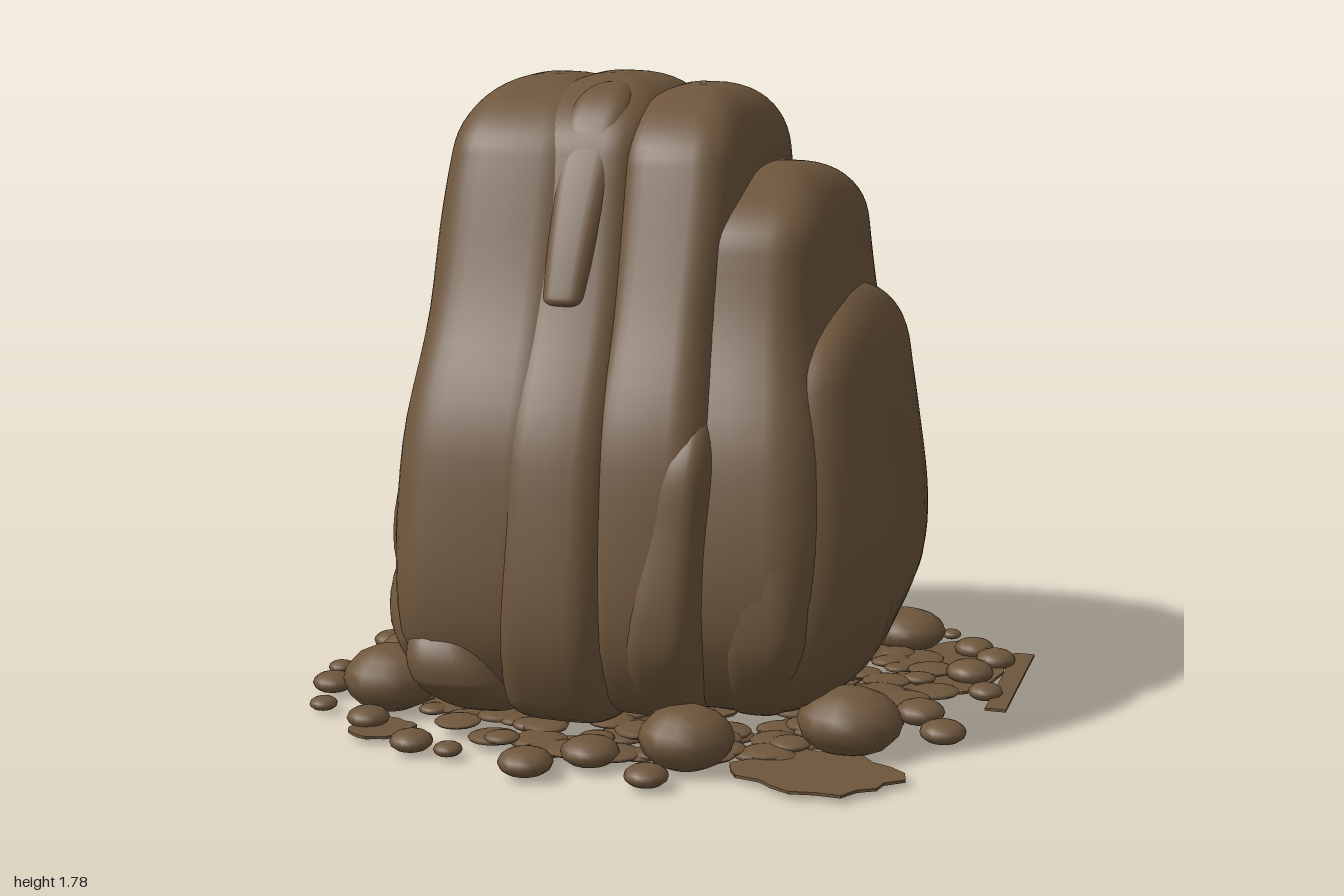
import * as THREE from 'three';

const stone = new THREE.MeshStandardMaterial({ color: 0x6e563c });
stone.name = 'brown stone';

let seed = 7;
const rand = () => (seed = (seed * 16807) % 2147483647) / 2147483647;

// Interpolate section rows [y, x0, x1, z0, z1] smoothly at height y
function sectionAt(rows, y) {
  let i = 0;
  while (i < rows.length - 2 && y > rows[i + 1][0]) i++;
  const a = rows[i], b = rows[i + 1];
  const p = rows[Math.max(i - 1, 0)], n = rows[Math.min(i + 2, rows.length - 1)];
  const h = b[0] - a[0], t = (y - a[0]) / h, t2 = t * t, t3 = t2 * t;
  return [1, 2, 3, 4].map((k) => {
    const ma = ((b[k] - p[k]) / (b[0] - p[0])) * h;
    const mb = ((n[k] - a[k]) / (n[0] - a[0])) * h;
    return (2 * t3 - 3 * t2 + 1) * a[k] + (t3 - 2 * t2 + t) * ma
      + (3 * t2 - 2 * t3) * b[k] + (t3 - t2) * mb;
  });
}

// Weathered stone lobe: stacked superellipse sections with rounded ends
function lobe(name, rows, { power = 3.5, cap = 0.2, base = 0.1, rough = 0.007 } = {}) {
  const N = 48, y0 = rows[0][0], y1 = rows[rows.length - 1][0];
  const levels = [];
  for (let i = 0; i <= 6; i++) levels.push(y0 + base * (1 - Math.cos((i / 6) * Math.PI / 2)));
  for (let i = 1; i < 20; i++) levels.push(y0 + base + (y1 - cap - y0 - base) * i / 20);
  for (let i = 0; i <= 12; i++) levels.push(y1 - cap + cap * Math.sin((i / 12) * Math.PI / 2));
  const pos = [], index = [];
  const sp = (v) => Math.sign(v) * Math.abs(v) ** (2 / power);
  levels.forEach((y, j) => {
    const [xa, xb, za, zb] = sectionAt(rows, y);
    const up = Math.max(0, (y - y1 + cap) / cap), dn = Math.max(0, (y0 + base - y) / base);
    const s = Math.max(0, 1 - Math.min(1, up) ** 2.3) ** (1 / 2.3)
      * (0.65 + 0.35 * Math.sqrt(Math.max(0, 1 - dn * dn)));
    for (let i = 0; i < N; i++) {
      const a = (i / N) * Math.PI * 2, c = Math.cos(a), d = Math.sin(a);
      const x = (xa + xb) / 2 + s * sp(c) * (xb - xa) / 2;
      const z = (za + zb) / 2 + s * sp(d) * (zb - za) / 2;
      const w = rough * s * (Math.sin(x * 11 + y * 4) + Math.sin(z * 9 - y * 6 + 1));
      pos.push(x + w * c, y, z + w * d);
      if (j) {
        const k = (i + 1) % N, p = (j - 1) * N, q = j * N;
        index.push(p + i, q + i, p + k, p + k, q + i, q + k);
      }
    }
  });
  // Close the underside
  const centre = pos.length / 3, s0 = sectionAt(rows, y0);
  pos.push((s0[0] + s0[1]) / 2, y0, (s0[2] + s0[3]) / 2);
  for (let i = 0; i < N; i++) index.push(centre, i, (i + 1) % N);
  const g = new THREE.BufferGeometry();
  g.setAttribute('position', new THREE.Float32BufferAttribute(pos, 3));
  g.setIndex(index);
  g.computeVertexNormals();
  const m = new THREE.Mesh(g, stone);
  m.name = name;
  return m;
}

function buildBoulder() {
  const g = new THREE.Group();
  g.name = 'boulder';
  g.add(
    // Broad rounded back
    lobe('backMass', [[.06, -.52, .47, -.56, .3], [.25, -.64, .6, -.69, .4], [.5, -.69, .67, -.75, .4],
      [.8, -.68, .65, -.72, .4], [1.2, -.62, .51, -.61, .3], [1.5, -.55, .28, -.5, .2], [1.74, -.46, .24, -.44, .15]],
    { power: 2.5, cap: 0.24 }),
    // Three tall front columns
    lobe('leftColumn', [[.08, -.52, -.1, -.3, .7], [.35, -.61, -.08, -.4, .81], [.8, -.615, -.08, -.4, .73],
      [1.2, -.605, -.1, -.4, .54], [1.5, -.585, -.12, -.42, .4], [1.78, -.56, -.14, -.36, .29]], { power: 4 }),
    lobe('middleColumn', [[.06, -.3, .06, -.3, .74], [.35, -.32, .07, -.4, .83], [.8, -.32, .06, -.4, .735],
      [1.2, -.32, .05, -.4, .535], [1.5, -.34, .03, -.44, .39], [1.785, -.38, .04, -.4, .29]], { power: 4 }),
    lobe('rightColumn', [[.08, -.06, .28, -.3, .67], [.35, -.07, .32, -.4, .78], [.8, -.08, .31, -.4, .71],
      [1.2, -.08, .285, -.42, .535], [1.5, -.08, .28, -.42, .39], [1.76, -.1, .26, -.36, .29]], { power: 4 }),
    // Raised flake on the upper front
    lobe('frontFlake', [[1.19, -.225, -.09, .3, .55], [1.4, -.235, -.07, .2, .455], [1.6, -.24, -.05, .1, .35],
      [1.77, -.23, -.04, 0, .24]], { cap: 0.12, base: 0.03, rough: 0 }),
    // Stepped right shoulders
    lobe('highShoulder', [[.09, .1, .5, -.42, .6], [.4, .08, .62, -.56, .72], [.8, .08, .61, -.54, .64],
      [1.2, .1, .535, -.5, .47], [1.54, .12, .5, -.42, .34]], { power: 3.8, cap: 0.2 }),
    lobe('lowShoulder', [[.07, .15, .54, -.36, .54], [.22, .18, .65, -.47, .65], [.45, .2, .712, -.5, .66],
      [.8, .25, .69, -.5, .57], [1.2, .33, .63, -.45, .43]], { power: 3.2, cap: 0.22 }),
    lobe('frontRightRib', [[.1, .28, .5, .2, .6], [.35, .28, .58, .2, .72], [.7, .31, .56, .2, .66],
      [1.1, .36, .53, .15, .49]], { power: 3, cap: 0.3 }),
    lobe('frontWedge', [[.1, .05, .28, .3, .68], [.35, .05, .31, .3, .795], [.7, .11, .305, .3, .74],
      [.97, .18, .29, .3, .65]], { power: 3, cap: 0.2 }),
    // Left flank and its foot
    lobe('leftFlank', [[.1, -.57, 0, -.42, .44], [.25, -.69, 0, -.52, .56], [.47, -.755, 0, -.54, .6],
      [.8, -.715, 0, -.53, .52], [1.1, -.665, 0, -.48, .42], [1.55, -.58, 0, -.4, .28]],
    { power: 2.6, cap: 0.3 }),
    lobe('leftFoot', [[.12, -.57, -.3, .2, .66], [.3, -.67, -.3, .2, .68], [.56, -.68, -.35, .2, .6]],
      { power: 2.8, cap: 0.3 }),
    lobe('frontFoot', [[.1, -.46, -.2, .4, .75], [.22, -.53, -.24, .4, .83], [.41, -.56, -.34, .4, .82]],
      { power: 3, cap: 0.2 }),
    // Bulges around the back
    lobe('backBulge', [[.12, .2, .45, -.55, -.2], [.35, .15, .53, -.68, -.2], [.66, .2, .5, -.67, -.2]],
      { power: 2.6, cap: 0.25 }),
    lobe('backSideBulge', [[.12, .35, .58, -.45, -.1], [.35, .35, .66, -.54, -.1], [.66, .38, .65, -.52, -.1]],
      { power: 2.6, cap: 0.25 }),
    lobe('backRidge', [[.12, -.35, .12, -.6, 0], [.45, -.4, .15, -.745, 0], [.9, -.36, .16, -.7, 0],
      [1.35, -.28, .16, -.57, 0]], { power: 2.8, cap: 0.3 }),
    lobe('backLeftRidge', [[.12, -.53, -.2, -.55, 0], [.45, -.62, -.2, -.69, 0], [.8, -.61, -.2, -.66, 0],
      [1.3, -.53, -.2, -.52, 0]], { power: 2.6, cap: 0.3 }),
  );
  return g;
}

const pebbleGeo = new THREE.SphereGeometry(1, 14, 8);
function pebble(name, x, y, z, rx, ry, rz) {
  const m = new THREE.Mesh(pebbleGeo, stone);
  m.name = name;
  m.position.set(x, y, z);
  m.scale.set(rx, ry, rz);
  m.rotation.y = rand() * 0.5;
  return m;
}

function buildPebbles() {
  const g = new THREE.Group();
  g.name = 'pebbles';
  // Larger stones: x, z, radius, height
  [[-.1, -.78, .11, .16], [.43, -.61, .08, .1], [.6, -.48, .125, .13], [.64, .48, .145, .185], [-.69, .48, .14, .19],
    [.25, .72, .13, .175], [-.78, .1, .1, .11]]
    .forEach(([x, z, r, h]) => g.add(pebble('largePebble', x, h / 2, z, r, h / 2, r * 0.92)));
  // Loose stones: x, z, radius
  [[-.62, -.78, .07], [-.7, -.65, .07], [-.78, -.5, .07], [-.84, -.31, .055], [-.91, -.04, .055], [-.91, .4, .06],
    [-.87, .56, .04], [-.5, .81, .06], [-.39, .82, .04], [-.14, .9, .075], [.19, .89, .06]]
    .concat([[.87, .34, .065], [.78, .2, .07], [.85, -.2, .07], [.72, -.62, .03], [.35, -.84, .03], [.25, -.94, .03],
      [.21, -.96, .025], [-.31, -.95, .03], [-.4, -.87, .035], [-.58, -.88, .03], [-.96, .23, .038], [-.69, .66, .06],
      [-.86, .22, .05], [0, .78, .08], [.9, -.36, .06], [.82, -.45, .06], [.92, -.06, .05]])
    .forEach(([x, z, r]) => g.add(pebble('loosePebble', x, r * 0.5 + 0.005, z, r, r * 0.5, r)));
  // Flat gravel bed under and around the boulder
  for (let i = 0; i < 210; i++) {
    const a = i * 2.39996, d = 0.36 + 0.42 * Math.sqrt(rand()), r = 0.04 + 0.04 * rand();
    g.add(pebble('gravel', d * Math.cos(a), 0.016 + 0.02 * rand(), d * Math.sin(a), r, 0.012 + 0.004 * rand(),
      r * (0.75 + 0.3 * rand())));
  }
  return g;
}

// Thin ragged flake of ground
function flake(name, x, y, z, rx, rz) {
  const pts = [];
  for (let i = 0; i < 22; i++) {
    const a = (i / 22) * Math.PI * 2, r = 0.78 + 0.22 * rand();
    pts.push(new THREE.Vector2(Math.cos(a) * rx * r, Math.sin(a) * rz * r));
  }
  const m = new THREE.Mesh(new THREE.ExtrudeGeometry(new THREE.Shape(pts), { depth: 0.008, bevelEnabled: false }), stone);
  m.name = name;
  m.rotation.x = -Math.PI / 2;
  m.position.set(x, y, z);
  return m;
}

function strip(name, x, y, z, w, l, turn) {
  const m = new THREE.Mesh(new THREE.BoxGeometry(w, 0.008, l), stone);
  m.name = name;
  m.position.set(x, y, z);
  m.rotation.y = turn;
  return m;
}

export function createModel() {
  const model = new THREE.Group();
  model.name = 'rock';
  model.add(buildBoulder(), buildPebbles());
  const ground = new THREE.Group();
  ground.name = 'groundFlakes';
  ground.add(
    flake('rightFlake', .79, .015, -.28, .17, .28),
    flake('frontFlake', .6, .015, .7, .25, .18),
    flake('backLeftFlake', -.66, .015, -.78, .09, .08),
    flake('frontLeftFlake', -.63, .015, .7, .1, .09),
    flake('leftFlake', -.8, .015, -.42, .08, .08),
    flake('underside', -.05, .02, .12, .42, .42),
    strip('rightStrip', .97, .02, -.2, .06, .54, 0),
    strip('underStrip', 0, .004, -.2, 1.08, .12, -.2),
  );
  model.add(ground);
  return model;
}
